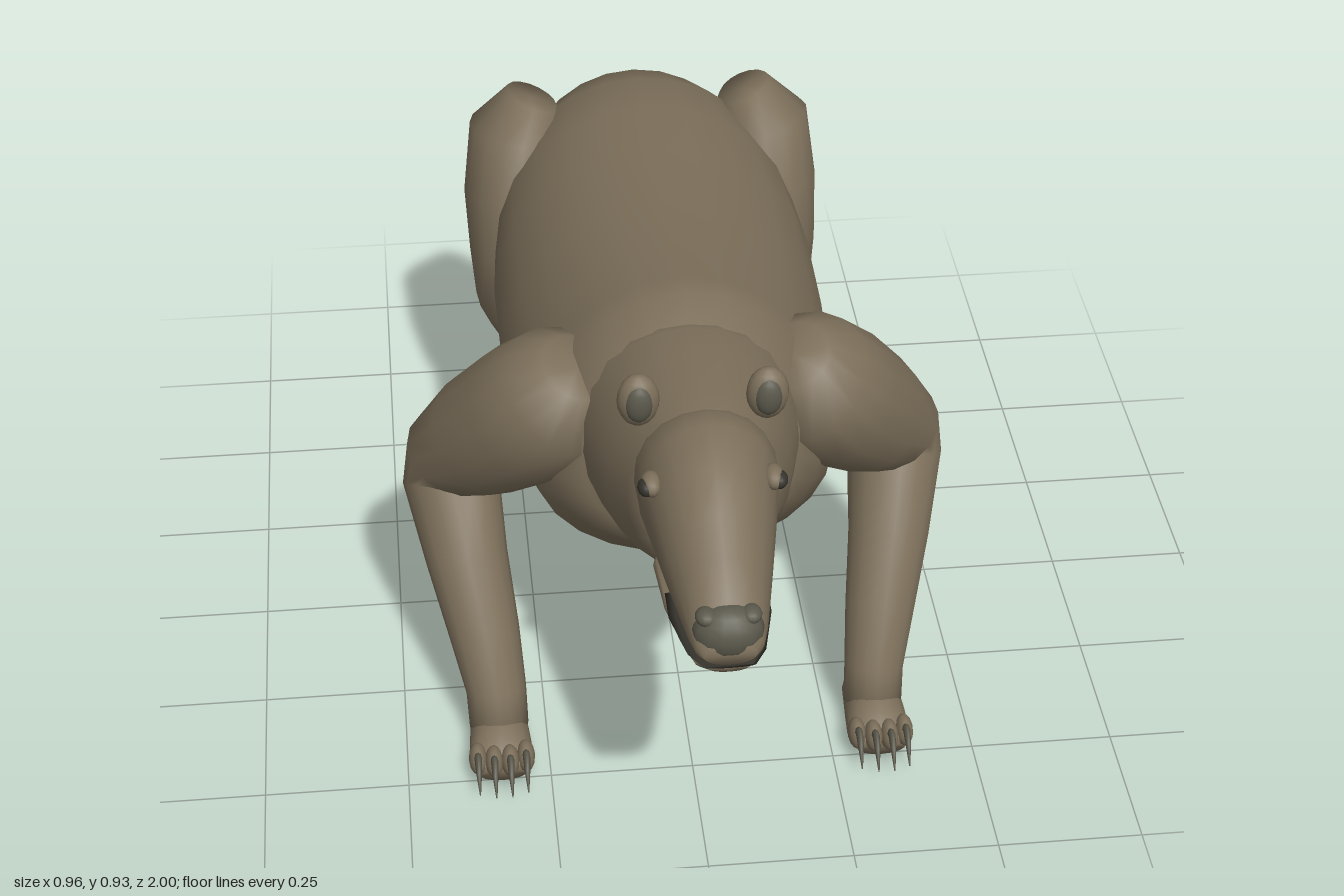
import * as THREE from 'three';

const mat = (name, color) => {
  const m = new THREE.MeshStandardMaterial({ color });
  m.name = name;
  return m;
};

// Skin over rings of points, closed at both ends
function skin(rings) {
  const n = rings[0].length, pos = [], idx = [];
  rings.forEach(r => r.forEach(p => pos.push(p.x, p.y, p.z)));
  for (let i = 0; i < rings.length - 1; i++) {
    for (let j = 0; j < n; j++) {
      const a = i * n + j, b = i * n + (j + 1) % n;
      idx.push(a, b, b + n, a, b + n, a + n);
    }
  }
  [0, rings.length - 1].forEach((r, end) => {
    const c = new THREE.Vector3();
    rings[r].forEach(p => c.addScaledVector(p, 1 / n));
    const k = pos.length / 3;
    pos.push(c.x, c.y, c.z);
    for (let j = 0; j < n; j++) {
      const a = r * n + j, b = r * n + (j + 1) % n;
      if (end) idx.push(a, b, k); else idx.push(b, a, k);
    }
  });
  const g = new THREE.BufferGeometry();
  g.setAttribute('position', new THREE.Float32BufferAttribute(pos, 3));
  g.setIndex(idx);
  g.computeVertexNormals();
  return g;
}

// Egg-shaped sections along +z: [z, top, bottom, halfWidth, height of widest point]
function hull(sections, n = 24, x = 0) {
  return skin(sections.map(([z, top, bottom, w, mid]) => Array.from({ length: n }, (_, j) => {
    const a = j / n * Math.PI * 2, s = Math.sin(a);
    return new THREE.Vector3(x + Math.cos(a) * w, mid + s * (s > 0 ? top - mid : mid - bottom), z);
  })));
}

// Limb with rings square to its path: [x, y, z, sideRadius, depthRadius]
function limb(stations, side = 1, n = 16) {
  const c = stations.map(s => new THREE.Vector3(s[0] * side, s[1], s[2]));
  return skin(stations.map((s, i) => {
    const t = c[Math.min(i + 1, c.length - 1)].clone().sub(c[Math.max(i - 1, 0)]).normalize();
    const u = new THREE.Vector3(1, 0, 0).addScaledVector(t, -t.x).normalize();
    const v = t.clone().cross(u);
    return Array.from({ length: n }, (_, j) => {
      const a = j / n * Math.PI * 2;
      return c[i].clone().addScaledVector(u, Math.cos(a) * s[3]).addScaledVector(v, Math.sin(a) * s[4]);
    });
  }));
}

export function createModel() {
  const root = new THREE.Group();
  const fur = mat('brown fur', 0x7d705b);
  const dark = mat('grey skin', 0x5b594c);
  const black = mat('dark eye and mouth', 0x35332c);

  const add = (name, geo, m = fur) => {
    const mesh = new THREE.Mesh(geo, m);
    mesh.name = name;
    root.add(mesh);
    return mesh;
  };
  const ball = (name, p, r, m = fur) => {
    const mesh = add(name, new THREE.SphereGeometry(1, 14, 10), m);
    mesh.position.set(...p);
    mesh.scale.set(...r);
    return mesh;
  };

  // Trunk, rump to shoulders
  add('body', hull([
    [-0.68, 0.65, 0.54, 0.06, 0.59], [-0.655, 0.72, 0.48, 0.12, 0.59],
    [-0.6, 0.785, 0.425, 0.2, 0.59], [-0.47, 0.84, 0.36, 0.26, 0.58],
    [-0.35, 0.846, 0.33, 0.283, 0.57], [-0.2, 0.85, 0.312, 0.294, 0.56],
    [0, 0.855, 0.3, 0.292, 0.55], [0.18, 0.875, 0.31, 0.28, 0.54],
    [0.27, 0.885, 0.325, 0.268, 0.54], [0.33, 0.893, 0.35, 0.255, 0.55],
    [0.39, 0.867, 0.41, 0.225, 0.58], [0.45, 0.85, 0.475, 0.18, 0.63],
  ]));
  // Neck and skull with upper snout
  add('neck', hull([
    [0.3, 0.855, 0.45, 0.2, 0.65], [0.4, 0.87, 0.475, 0.187, 0.66],
    [0.47, 0.878, 0.482, 0.175, 0.67], [0.57, 0.878, 0.508, 0.15, 0.69],
    [0.64, 0.882, 0.55, 0.125, 0.72], [0.7, 0.87, 0.61, 0.1, 0.74],
  ]));
  add('head', hull([
    [0.6, 0.865, 0.6, 0.11, 0.75], [0.65, 0.885, 0.595, 0.115, 0.76],
    [0.7, 0.896, 0.598, 0.11, 0.77], [0.78, 0.873, 0.612, 0.096, 0.75],
    [0.84, 0.832, 0.638, 0.084, 0.72], [0.9, 0.79, 0.652, 0.072, 0.7],
    [0.95, 0.755, 0.653, 0.062, 0.69], [0.98, 0.72, 0.655, 0.053, 0.685],
    [0.994, 0.7, 0.662, 0.04, 0.68],
  ], 20));
  add('lowerJaw', hull([
    [0.64, 0.67, 0.6, 0.07, 0.64], [0.72, 0.665, 0.592, 0.09, 0.64],
    [0.82, 0.648, 0.599, 0.082, 0.634], [0.9, 0.646, 0.609, 0.066, 0.635],
    [0.955, 0.646, 0.62, 0.05, 0.638], [0.975, 0.645, 0.632, 0.03, 0.64],
  ], 20));
  add('mouthLine', hull([
    [0.8, 0.652, 0.644, 0.08, 0.648], [0.86, 0.653, 0.645, 0.08, 0.649],
    [0.95, 0.654, 0.646, 0.06, 0.65], [0.985, 0.655, 0.648, 0.04, 0.652],
  ], 12), black);
  ball('nose', [0, 0.702, 0.96], [0.056, 0.046, 0.04], dark);

  // Tail
  add('tail', limb([
    [0, 0.62, -0.6, 0.05, 0.055], [0, 0.59, -0.68, 0.044, 0.042],
    [0, 0.53, -0.78, 0.029, 0.029], [0, 0.467, -0.89, 0.016, 0.016],
    [0, 0.412, -0.998, 0.003, 0.003],
  ], 1, 12));

  // Foot with four toes and claws; heel is its back end
  const foot = (name, side, x, heel, length, claw) => {
    const f = heel + length;
    add(name, hull([
      [heel, 0.06, 0.008, 0.03, 0.03], [heel + 0.02, 0.085, 0, 0.048, 0.03],
      [heel + 0.1, 0.085, 0, 0.054, 0.03], [heel + 0.14, 0.07, 0, 0.056, 0.028],
      [f, 0.05, 0.006, 0.044, 0.025],
    ], 16, side * x));
    for (let i = 0; i < 4; i++) {
      const o = -0.042 + i * 0.028, tx = side * x + o;
      const tz = f - Math.abs(o) * 0.35;
      ball(name + 'Toe', [tx, 0.043, tz - 0.005], [0.016, 0.027, 0.03]);
      add(name + 'Claw', limb([
        [tx, 0.055, tz + 0.005, 0.007, 0.011],
        [tx, 0.064, tz + 0.02 * claw, 0.0065, 0.011],
        [tx, 0.05, tz + 0.042 * claw, 0.005, 0.008],
        [tx, 0.02, tz + 0.065 * claw, 0.001, 0.001],
      ], 1, 8), dark);
    }
  };

  for (const side of [1, -1]) {
    const S = side > 0 ? 'left' : 'right';

    // Ears and eyes
    ball(S + 'Ear', [side * 0.102, 0.881, 0.605], [0.034, 0.047, 0.025]);
    ball(S + 'InnerEar', [side * 0.102, 0.882, 0.618], [0.023, 0.034, 0.016], dark);
    ball(S + 'Eyelid', [side * 0.095, 0.818, 0.74], [0.017, 0.018, 0.026]);
    ball(S + 'Eye', [side * 0.102, 0.817, 0.746], [0.015, 0.014, 0.019], black);
    ball(S + 'Nostril', [side * 0.034, 0.733, 0.962], [0.017, 0.013, 0.02], dark);

    // Front leg, elbow turned out and back
    add(S + 'FrontLeg', limb([
      [0.18, 0.775, 0.36, 0.06, 0.07], [0.2, 0.72, 0.345, 0.115, 0.12],
      [0.26, 0.64, 0.29, 0.12, 0.125], [0.33, 0.55, 0.22, 0.108, 0.112],
      [0.385, 0.47, 0.165, 0.092, 0.09], [0.395, 0.42, 0.17, 0.085, 0.085],
      [0.375, 0.31, 0.26, 0.072, 0.072], [0.352, 0.2, 0.335, 0.062, 0.062],
      [0.337, 0.11, 0.385, 0.053, 0.052], [0.335, 0.04, 0.4, 0.052, 0.06],
    ], side));
    foot(S + 'FrontFoot', side, 0.335, 0.335, 0.175, 1);

    // Hind leg: thigh, knee, hock, ankle
    add(S + 'HindLeg', limb([
      [0.2, 0.8, -0.49, 0.05, 0.07], [0.225, 0.74, -0.48, 0.095, 0.115],
      [0.235, 0.62, -0.455, 0.1, 0.135], [0.24, 0.52, -0.41, 0.09, 0.122],
      [0.245, 0.43, -0.4, 0.077, 0.09], [0.235, 0.34, -0.47, 0.065, 0.072],
      [0.222, 0.24, -0.55, 0.054, 0.058], [0.218, 0.15, -0.53, 0.05, 0.046],
      [0.215, 0.04, -0.51, 0.05, 0.05],
    ], side));
    ball(S + 'HipBulge', [side * 0.225, 0.67, -0.575], [0.05, 0.08, 0.05]);
    foot(S + 'HindFoot', side, 0.214, -0.565, 0.18, 0.5);
  }
  return root;
}
